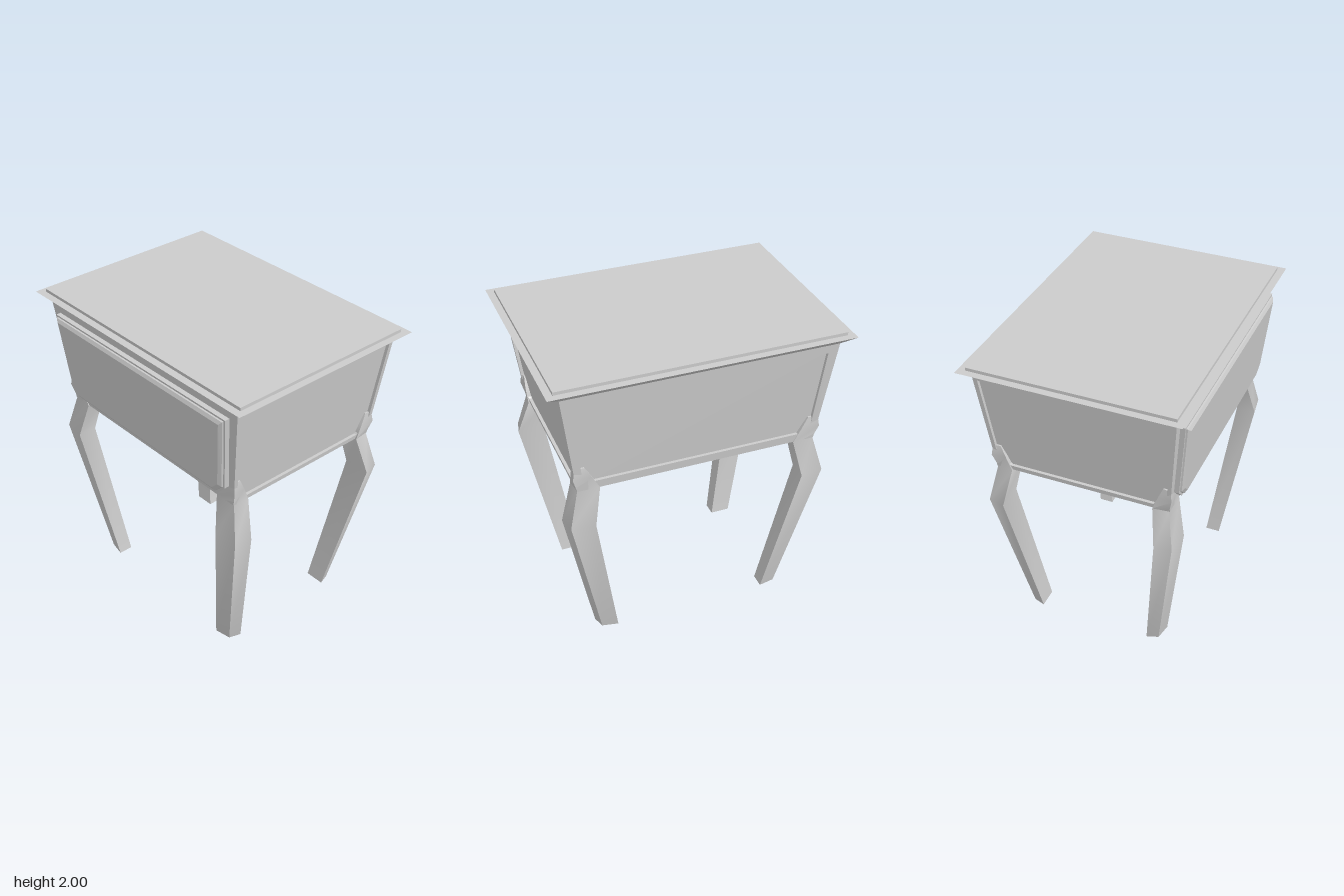
import * as THREE from 'three';
import { toCreasedNormals } from 'three/addons/utils/BufferGeometryUtils.js';

const material = new THREE.MeshStandardMaterial({ color: 0xcccccc });

// Body runs from BOTTOM to TOP and tapers towards the floor
const TOP = 1.925, BOTTOM = 1.235;
const HALF_X = [0.77, 0.86], HALF_Z = [0.56, 0.62];
const taper = ([low, high], y) => low + (high - low) * (y - BOTTOM) / (TOP - BOTTOM);

// Skin a list of rings (counter-clockwise seen from the last ring), with optional caps
function loft(rings, capStart, capEnd) {
  const pos = [];
  const tri = (...points) => points.forEach(p => pos.push(...p));
  const n = rings[0].length;
  for (let r = 0; r < rings.length - 1; r++) {
    for (let i = 0; i < n; i++) {
      const j = (i + 1) % n, a = rings[r], b = rings[r + 1];
      tri(a[i], a[j], b[j]);
      tri(a[i], b[j], b[i]);
    }
  }
  for (let i = 1; i < n - 1; i++) {
    const a = rings[0], b = rings[rings.length - 1];
    if (capStart) tri(a[0], a[i + 1], a[i]);
    if (capEnd) tri(b[0], b[i], b[i + 1]);
  }
  const geometry = new THREE.BufferGeometry();
  geometry.setAttribute('position', new THREE.Float32BufferAttribute(pos, 3));
  geometry.computeVertexNormals();
  return geometry;
}

function addMesh(parent, name, geometry) {
  const mesh = new THREE.Mesh(geometry, material);
  mesh.name = name;
  parent.add(mesh);
  return mesh;
}

const rectangle = (x, z, y) => [[x, y, z], [x, y, -z], [-x, y, -z], [-x, y, z]];

// Six-sided panel outline with clipped lower corners, shrunk by s
function panelOutline({ top, bottom, wide, narrow, clip }, s = 0) {
  const t = top - s, b = bottom + s, w = wide - s, n = narrow - s;
  const c = clip - s * 0.4;
  return [[-n + c, b], [n - c, b], [n, b + c], [w, t], [-w, t], [-n, b + c]];
}

// Place an outline on a sloping wall, offset outwards
const onWall = (outline, dist, offset) =>
  outline.map(([u, v]) => [u, v, taper(dist, v) + offset]);

// Sloping wall with a panel sunk into it
function makeWall(name, half, dist, panel, depth) {
  const wall = new THREE.Group();
  wall.name = name;
  const outline = panelOutline(panel);
  const shape = new THREE.Shape([
    [-half[0], BOTTOM], [half[0], BOTTOM], [half[1], TOP], [-half[1], TOP],
  ].map(p => new THREE.Vector2(...p)));
  shape.holes.push(new THREE.Path(outline.map(p => new THREE.Vector2(...p))));
  const frame = new THREE.ShapeGeometry(shape);
  const pos = frame.attributes.position;
  for (let i = 0; i < pos.count; i++) pos.setZ(i, taper(dist, pos.getY(i)));
  frame.computeVertexNormals();
  addMesh(wall, 'wallFrame', frame);
  addMesh(wall, 'sunkenPanel', loft(
    [onWall(outline, dist, 0), onWall(outline, dist, -depth)], false, true));
  return wall;
}

// Curved leg with a kite-shaped section; each row is
// y, inner x, inner z, outer x, outer z, corner x, corner z
const LEG = [
  [0.00, 0.515, 0.375, 0.645, 0.47, 0.62, 0.45],
  [1.00, 0.68, 0.495, 0.855, 0.62, 0.83, 0.60],
  [1.235, 0.63, 0.455, 0.78, 0.565, 0.768, 0.555],
  [1.33, 0.68, 0.49, 0.784, 0.57, 0.795, 0.578],
  [1.40, 0.72, 0.52, 0.78, 0.565, 0.785, 0.568],
];

function legGeometry(sx, sz) {
  const rings = LEG.map(([y, xi, zi, xo, zo, xc, zc]) => {
    const ring = [[xi, zi], [xi, zo], [xc, zc], [xo, zi]].map(([x, z]) => [sx * x, y, sz * z]);
    return sx * sz < 0 ? ring.reverse() : ring;
  });
  return toCreasedNormals(loft(rings, true, true), 0.6);
}

export function createModel() {
  const model = new THREE.Group();
  model.name = 'bedsideTable';

  // Flared top with a raised slab
  addMesh(model, 'tableTop', loft([
    rectangle(0.86, 0.62, 1.925), rectangle(0.942, 0.682, 1.98),
    rectangle(0.897, 0.635, 1.98), rectangle(0.897, 0.635, 2),
  ], true, true));

  // Body walls, turned around the vertical axis
  const facePanel = { top: 1.87, bottom: 1.29, wide: 0.79, narrow: 0.74, clip: 0.07 };
  const sidePanel = { top: 1.9, bottom: 1.265, wide: 0.59, narrow: 0.545, clip: 0.085 };
  ['frontWall', 'leftWall', 'backWall', 'rightWall'].forEach((name, k) => {
    const wall = k % 2
      ? makeWall(name, HALF_Z, HALF_X, sidePanel, 0.02)
      : makeWall(name, HALF_X, HALF_Z, facePanel, 0.02);
    wall.rotation.y = k * Math.PI / 2;
    model.add(wall);
  });

  // Underside
  const floor = new THREE.PlaneGeometry(2 * HALF_X[0], 2 * HALF_Z[0]).rotateX(Math.PI / 2);
  addMesh(model, 'bodyUnderside', floor.translate(0, BOTTOM, 0));

  // Drawer front: stepped slab with a bevelled raised face
  const drawerRing = (shrink, offset) => onWall(panelOutline(facePanel, shrink), HALF_Z, offset);
  addMesh(model, 'drawerFront', loft([
    drawerRing(0.002, -0.02), drawerRing(0.002, 0.03), drawerRing(0.014, 0.03),
    drawerRing(0.016, 0.04), drawerRing(0.038, 0.053),
  ], false, true));

  // Legs
  for (const [sx, side] of [[1, 'Left'], [-1, 'Right']]) {
    for (const [sz, end] of [[1, 'front'], [-1, 'back']]) {
      addMesh(model, `${end}${side}Leg`, legGeometry(sx, sz));
    }
  }
  return model;
}
